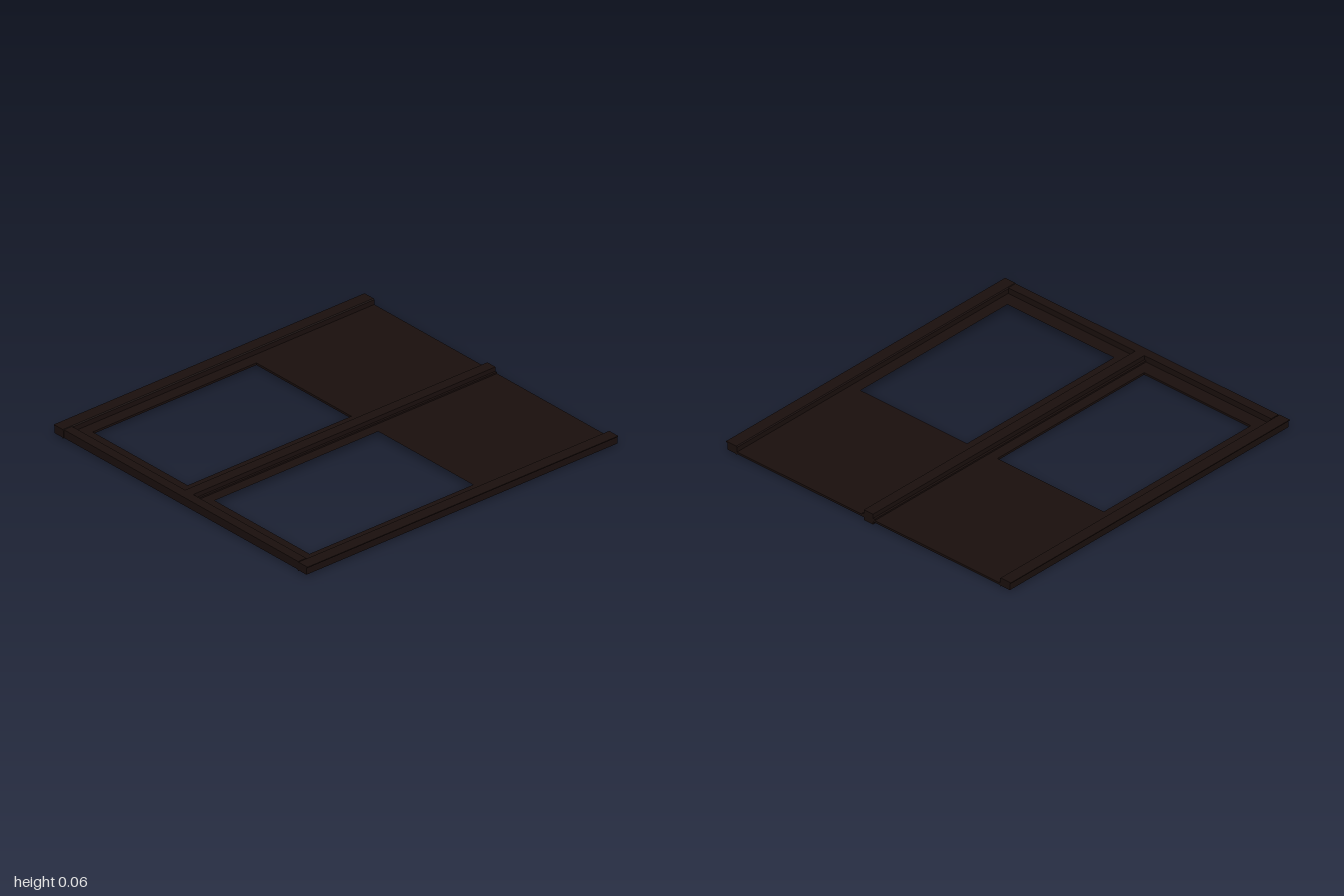
import * as THREE from 'three';

const frameMat = new THREE.MeshStandardMaterial({ color: 0x1a0f0d });

export function createModel() {
  const root = new THREE.Group();
  root.name = 'slidingPanelFrame';

  // Box given by its limits on each axis
  function block(name, x0, x1, y0, y1, z0, z1) {
    const mesh = new THREE.Mesh(new THREE.BoxGeometry(x1 - x0, y1 - y0, z1 - z0), frameMat);
    mesh.position.set((x0 + x1) / 2, (y0 + y1) / 2, (z0 + z1) / 2);
    mesh.name = name;
    root.add(mesh);
  }

  // Side rails: upright with a small lip on top and a bead below
  const profile = [
    [0.87, 0.015], [0.875, 0.01], [0.88, 0.015], [0.935, 0.015],
    [0.935, 0.052], [0.942, 0.055], [0.942, 0.06], [0.875, 0.06], [0.87, 0.055],
  ];
  for (const s of [-1, 1]) {
    const pts = profile.map(([x, y]) => new THREE.Vector2(s * x, y));
    const geo = new THREE.ExtrudeGeometry(new THREE.Shape(pts), { depth: 2, bevelEnabled: false });
    geo.translate(0, 0, -1);
    const rail = new THREE.Mesh(geo, frameMat);
    rail.name = s > 0 ? 'leftRail' : 'rightRail';
    root.add(rail);
  }

  // Front rail closes the frame
  block('frontRail', -0.87, 0.87, 0.015, 0.06, 0.945, 0.997);

  // Centre rail: tall bar reaching below the panels
  block('centreRail', -0.03, 0.03, 0, 0.06, -1, 0.95);

  // Two leaves: a thin sheet with a rectangular window, solid at the back
  for (const s of [-1, 1]) {
    const side = s > 0 ? 'left' : 'right';
    const rect = (Type, x0, x1, z0, z1) => new Type([
      [x0, z0], [x1, z0], [x1, z1], [x0, z1],
    ].map(([x, z]) => new THREE.Vector2(s * x, -z)));
    const sheet = rect(THREE.Shape, 0.03, 0.87, -1, 0.945);
    sheet.holes.push(rect(THREE.Path, 0.1, 0.805, -0.185, 0.868));
    const geo = new THREE.ExtrudeGeometry(sheet, { depth: 0.012, bevelEnabled: false });
    geo.rotateX(-Math.PI / 2);
    geo.translate(0, 0.016, 0);
    const leaf = new THREE.Mesh(geo, frameMat);
    leaf.name = side + 'Leaf';
    root.add(leaf);

    // Low step beside the centre rail
    const xs = [s * 0.03, s * 0.042].sort((a, b) => a - b);
    block(side + 'Step', xs[0], xs[1], 0.016, 0.036, -1, 0.945);
  }

  return root;
}
